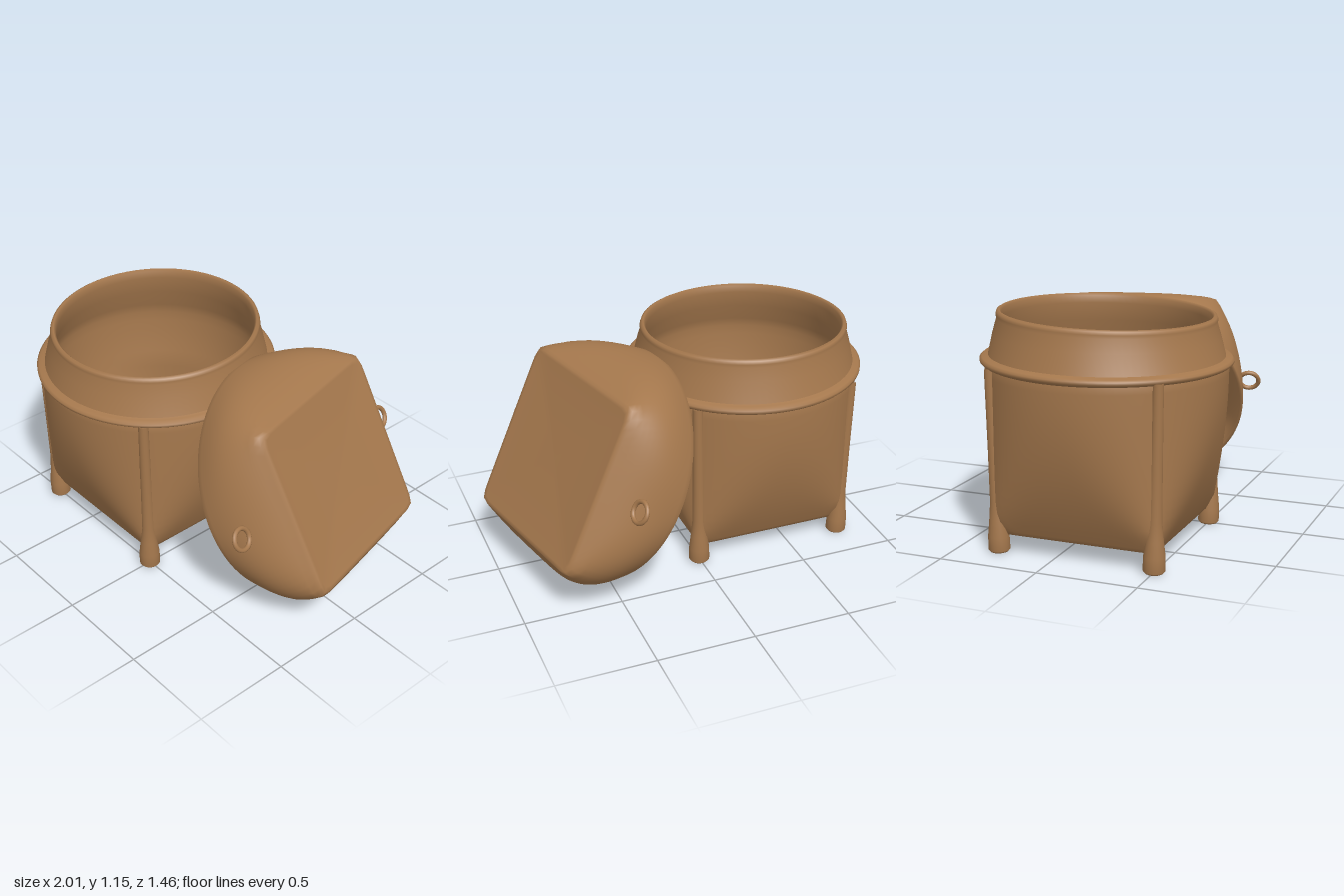
import * as THREE from 'three';

const basketBrown = new THREE.MeshStandardMaterial({ color: 0xa5784d });
basketBrown.name = 'basketBrown';

// Skin through cross-sections [half side, corner reach, y]; each blends circle to square.
function skin(rings, tilt = 0, n = 96) {
  const pos = [], index = [];
  for (const [a, c, y] of rings) {
    const inv = a > 0 ? Math.min(0.5, Math.max(0.045, 0.5 - Math.log2(c / a))) : 0.5;
    const p = 1 / inv;
    for (let i = 0; i < n; i++) {
      const t = (i / n) * Math.PI * 2;
      const cs = Math.cos(t), sn = Math.sin(t);
      const r = a / Math.pow(Math.abs(cs) ** p + Math.abs(sn) ** p, inv);
      pos.push(r * cs, y - tilt * Math.max(0, y - 0.85) * r * sn, r * sn);
    }
  }
  for (let j = 0; j < rings.length - 1; j++) {
    for (let i = 0; i < n; i++) {
      const k = (i + 1) % n;
      const a = j * n + i, b = j * n + k, c = a + n, d = b + n;
      index.push(a, b, c, b, d, c);
    }
  }
  const g = new THREE.BufferGeometry();
  g.setAttribute('position', new THREE.Float32BufferAttribute(pos, 3));
  g.setIndex(index);
  g.computeVertexNormals();
  return g;
}

function add(parent, name, geometry, x = 0, y = 0, z = 0) {
  const mesh = new THREE.Mesh(geometry, basketBrown);
  mesh.name = name;
  mesh.position.set(x, y, z);
  parent.add(mesh);
  return mesh;
}

// Flat square panel shrinking to its centre, from edge height to centre height
function panel(half, corner, yEdge, yMid) {
  return [0, 0.3, 0.6, 0.85, 0.96, 1].map((s) => [half * s, corner * s, yMid + (yEdge - yMid) * s * s]);
}

function makeBasket() {
  const basket = new THREE.Group();
  basket.name = 'basket';
  basket.position.set(-0.395, 0, 0.105);

  // Wall: round under the collar, square at the foot
  const wall = (inset, cornerInset, yLow) => {
    const rings = [];
    for (let i = 0; i <= 16; i++) {
      const t = i / 16;
      rings.push([0.588 - 0.178 * t ** 2.2 - inset, 0.59 - cornerInset, 0.9 + (yLow - 0.9) * t]);
    }
    return rings;
  };
  const collar = [[0.515, 0.515, 1.0], [0.502, 0.502, 1.09], [0.505, 0.505, 1.125], [0.515, 0.515, 1.137],
    [0.528, 0.528, 1.13], [0.533, 0.533, 1.115], [0.529, 0.529, 1.098], [0.549, 0.549, 1.03], [0.574, 0.574, 0.925]];
  const inside = wall(0.025, 0.055, 0.125).reverse();
  inside.pop();
  add(basket, 'body', skin([
    ...panel(0.375, 0.52, 0.11, 0.08), ...inside,
    [0.555, 0.555, 0.9], ...collar,
    ...wall(0, 0, 0.11), ...panel(0.4, 0.575, 0.09, 0.045).reverse(),
  ], 0.11));

  // Flange around the shoulder
  const band = [[0.565, 0.935], [0.585, 0.927], [0.602, 0.924], [0.613, 0.915], [0.612, 0.902], [0.6, 0.892], [0.585, 0.885], [0.57, 0.87]];
  add(basket, 'flange', skin(band.map(([r, y]) => [r, r, y]), 0.11));

  // Corner posts leaning slightly out, ending in stubby feet
  const profile = [[0, 0], [0.044, 0.002], [0.053, 0.012], [0.052, 0.08], [0.042, 0.16], [0.033, 0.25], [0.029, 0.5], [0.025, 0.9]];
  for (const sx of [-1, 1]) for (const sz of [-1, 1]) {
    const post = add(basket, 'cornerPost',
      new THREE.LatheGeometry(profile.map((p) => new THREE.Vector2(...p)), 20), sx * 0.397, 0, sz * 0.397);
    post.rotation.set(sz * 0.026, 0, -sx * 0.026);
  }
  return basket;
}

function makeLid() {
  const lid = new THREE.Group();
  lid.name = 'lid';

  // Lid leans on the basket: local y points out of the square top
  const up = new THREE.Vector3(0.872, 0.445, -0.206).normalize();
  const front = new THREE.Vector3(0.23, 0, 0.973).normalize();
  const side = new THREE.Vector3().crossVectors(up, front).normalize();
  front.crossVectors(side, up);
  lid.setRotationFromMatrix(new THREE.Matrix4().makeBasis(side, up, front));
  lid.position.set(0.39, 0.542, -0.06);

  const wall = (inset, cornerInset, top) => {
    const rings = [];
    for (let i = 0; i <= 14; i++) {
      const t = 1 - i / 14;
      const bulge = 0.03 * Math.sin(Math.PI * Math.min(1, t * 1.1));
      rings.push([0.592 - 0.152 * t ** 2.4 - inset, 0.594 + 0.02 * t + bulge - cornerInset, -0.012 + (top + 0.012) * t]);
    }
    return rings;
  };
  const shell = add(lid, 'lidShell', skin([
    ...panel(0.428, 0.598, 0.37, 0.355), ...wall(0, 0, 0.355),
    [0.584, 0.584, -0.02], ...wall(0.018, 0.026, 0.335).reverse(),
    ...panel(0.405, 0.565, 0.345, 0.332).reverse(),
  ]));
  // The square top sits a little off the rim's axis
  shell.geometry.applyMatrix4(new THREE.Matrix4().set(1, 0.08, 0, 0, 0, 1, 0, 0, 0, 0, 1, 0, 0, 0, 0, 1));
  shell.geometry.computeVertexNormals();

  // Small loops on two opposite sides
  for (const [y, z] of [[0.225, -0.59], [0.19, 0.613]]) {
    const loop = add(lid, 'lidLoop', new THREE.TorusGeometry(0.052, 0.012, 10, 28), 0.025, y, z);
    loop.rotation.x = Math.PI / 2;
  }
  return lid;
}

export function createModel() {
  const model = new THREE.Group();
  model.name = 'lidded basket';
  model.add(makeBasket(), makeLid());
  return model;
}
